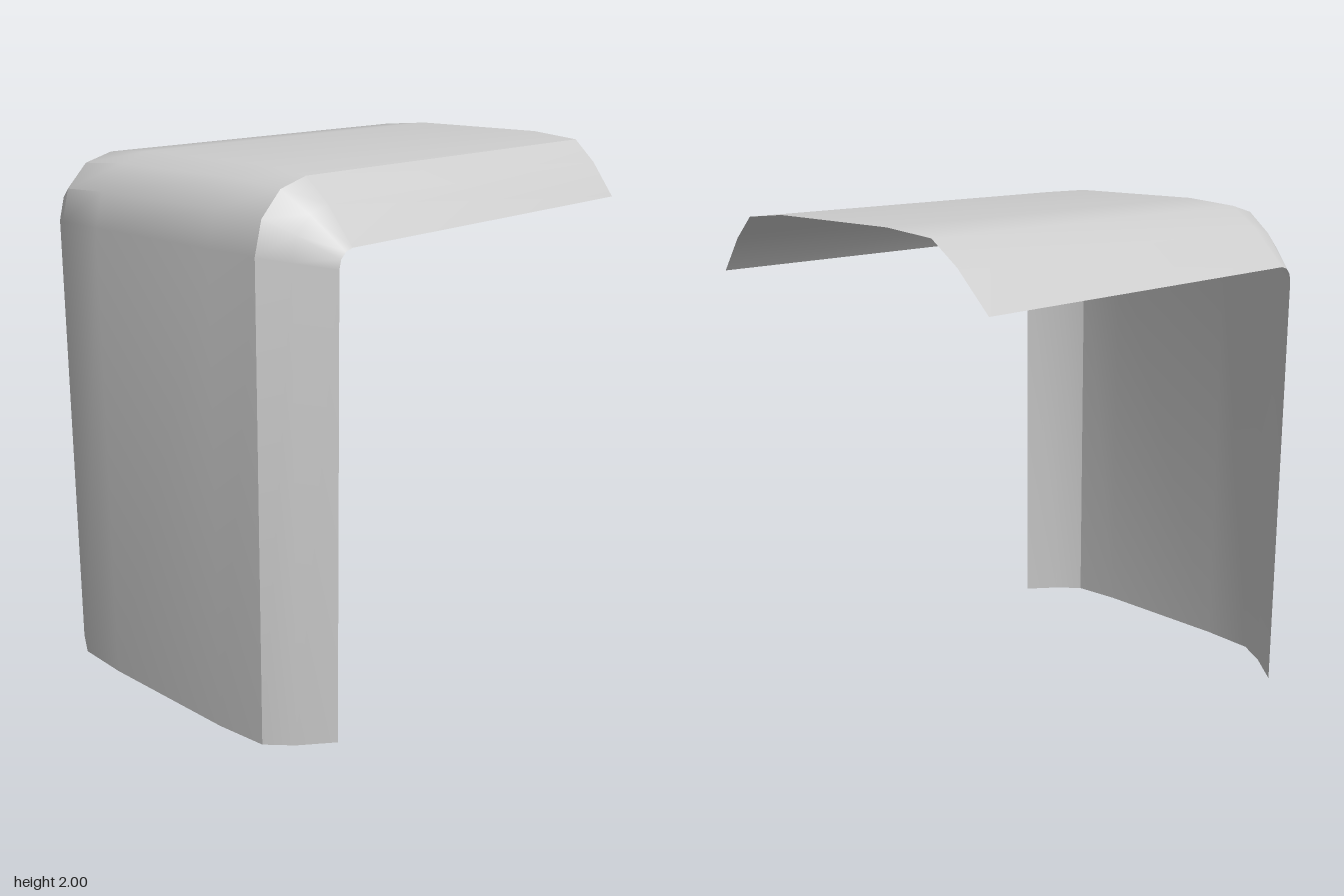
import * as THREE from 'three';
import { toCreasedNormals } from 'three/addons/utils/BufferGeometryUtils.js';

// Cross-section: x and depth below the outer face
const PROFILE = [
  [-0.73, 0.235], [-0.59, 0.1], [-0.47, 0.018], [-0.25, 0],
  [0.34, 0], [0.54, 0.02], [0.63, 0.105], [0.725, 0.235],
];
const BEND_STEPS = 3;

// L-shaped path of one profile point: up the front, round the bend, back along the top
function pathAt(depth) {
  const r = 0.25 - 0.8 * depth;
  const frontZ = 0.92 - 0.9 * depth;
  const topY = 2 - depth;
  const path = [[0, frontZ]];
  for (let i = 0; i <= BEND_STEPS; i++) {
    const a = (i / BEND_STEPS) * Math.PI / 2;
    path.push([topY - r + r * Math.sin(a), frontZ - r + r * Math.cos(a)]);
  }
  path.push([topY, -0.92]);
  return path;
}

function bentShell() {
  const positions = [];
  const index = [];
  const rows = BEND_STEPS + 3;
  for (const [x, depth] of PROFILE) {
    for (const [y, z] of pathAt(depth)) positions.push(x, y, z);
  }
  for (let u = 0; u < PROFILE.length - 1; u++) {
    for (let v = 0; v < rows - 1; v++) {
      const a = u * rows + v;
      const b = a + rows;
      index.push(a, b, b + 1, a, b + 1, a + 1);
    }
  }
  const geometry = new THREE.BufferGeometry();
  geometry.setAttribute('position', new THREE.Float32BufferAttribute(positions, 3));
  geometry.setIndex(index);
  return toCreasedNormals(geometry, 0.6);
}

export function createModel() {
  const group = new THREE.Group();
  group.name = 'bentCover';
  // Thin open sheet, bent from the front panel into the top panel
  const shell = new THREE.Mesh(
    bentShell(),
    new THREE.MeshStandardMaterial({ color: 0xcccccc, side: THREE.DoubleSide }),
  );
  shell.name = 'coverShell';
  group.add(shell);
  return group;
}
